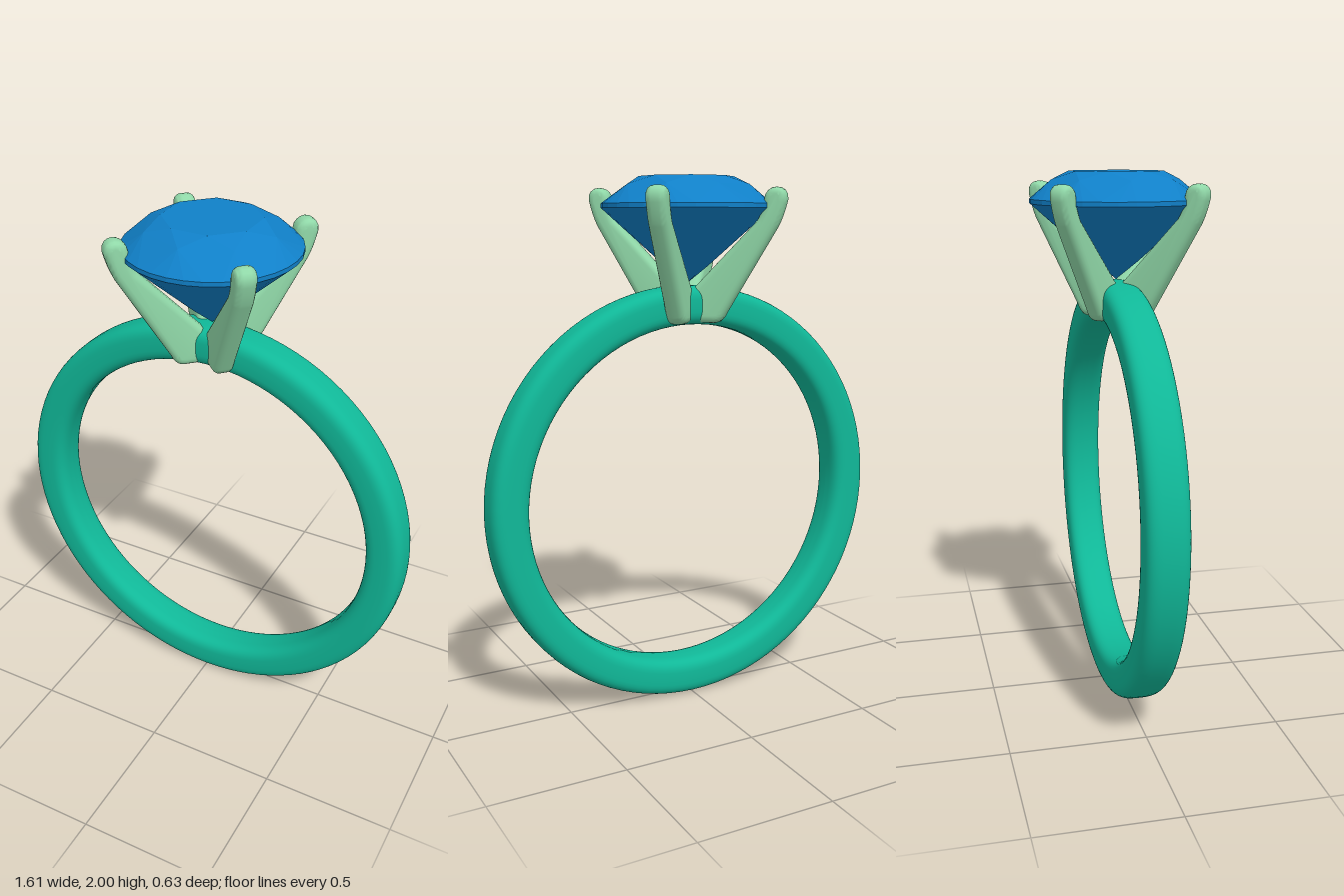
import * as THREE from 'three';
import { toCreasedNormals } from 'three/addons/utils/BufferGeometryUtils.js';
import { ConvexGeometry } from 'three/addons/geometries/ConvexGeometry.js';

const material = (color, flatShading = false) => new THREE.MeshStandardMaterial({ color, flatShading });

function addMesh(parent, name, geometry, mat) {
  const mesh = new THREE.Mesh(geometry, mat);
  mesh.name = name;
  parent.add(mesh);
  return mesh;
}

// Band: a softly squared cross-section swept around the finger
function bandGeometry() {
  const soften = (v) => Math.sign(v) * Math.pow(Math.abs(v), 0.6);
  const profile = [];
  for (let i = 0; i <= 40; i++) {
    const a = -Math.PI + (i / 40) * Math.PI * 2;
    profile.push(new THREE.Vector2(0.73 + 0.0725 * soften(Math.cos(a)), 0.078 * soften(Math.sin(a))));
  }
  return new THREE.LatheGeometry(profile, 96).rotateX(Math.PI / 2);
}

// Pair of opposite prongs: one V-shaped plate with rounded edges
function prongPairGeometry() {
  const s = new THREE.Shape();
  s.moveTo(-0.11, 1.468);
  s.lineTo(0.11, 1.468);
  s.quadraticCurveTo(0.14, 1.468, 0.156, 1.505);
  s.lineTo(0.345, 1.82);
  s.quadraticCurveTo(0.365, 1.86, 0.378, 1.915);
  s.bezierCurveTo(0.385, 1.975, 0.298, 1.975, 0.295, 1.915);
  s.quadraticCurveTo(0.295, 1.88, 0.27, 1.84);
  s.lineTo(0.03, 1.592);
  s.quadraticCurveTo(0, 1.565, -0.03, 1.592);
  s.lineTo(-0.27, 1.84);
  s.quadraticCurveTo(-0.295, 1.88, -0.295, 1.915);
  s.bezierCurveTo(-0.298, 1.975, -0.385, 1.975, -0.378, 1.915);
  s.quadraticCurveTo(-0.365, 1.86, -0.345, 1.82);
  s.lineTo(-0.156, 1.505);
  s.quadraticCurveTo(-0.14, 1.468, -0.11, 1.468);
  const g = new THREE.ExtrudeGeometry(s, {
    depth: 0.026, curveSegments: 8,
    bevelSize: 0.024, bevelOffset: -0.024, bevelThickness: 0.024, bevelSegments: 4,
  });
  return toCreasedNormals(g.translate(0, 0, -0.013), 0.8);
}

// Gem: hull of the table, crown, girdle, pavilion and culet points
function gemGeometry() {
  const points = [new THREE.Vector3(0, 1.61, 0)];
  const ring = (count, radius, y, turn = 0) => {
    for (let i = 0; i < count; i++) {
      const a = turn + (i / count) * Math.PI * 2;
      points.push(new THREE.Vector3(radius * Math.cos(a), y, radius * Math.sin(a)));
    }
  };
  ring(8, 0.175, 2.0, Math.PI / 8);
  ring(8, 0.238, 1.97);
  ring(32, 0.315, 1.902);
  ring(32, 0.315, 1.886);
  ring(8, 0.08, 1.675, Math.PI / 8);
  return new ConvexGeometry(points);
}

export function createModel() {
  const model = new THREE.Group();
  model.name = 'ring';

  addMesh(model, 'band', bandGeometry(), material(0x10b898)).position.y = 0.8025;

  // Two crossed plates make the four prongs
  const setting = new THREE.Group();
  setting.name = 'setting';
  model.add(setting);
  const plate = prongPairGeometry();
  const prongMaterial = material(0x90d8a8);
  for (const side of [1, -1]) {
    addMesh(setting, 'prongPair', plate, prongMaterial).rotation.y = side * Math.PI / 4;
  }

  addMesh(model, 'gem', gemGeometry(), material(0x1080c8, true));
  return model;
}
